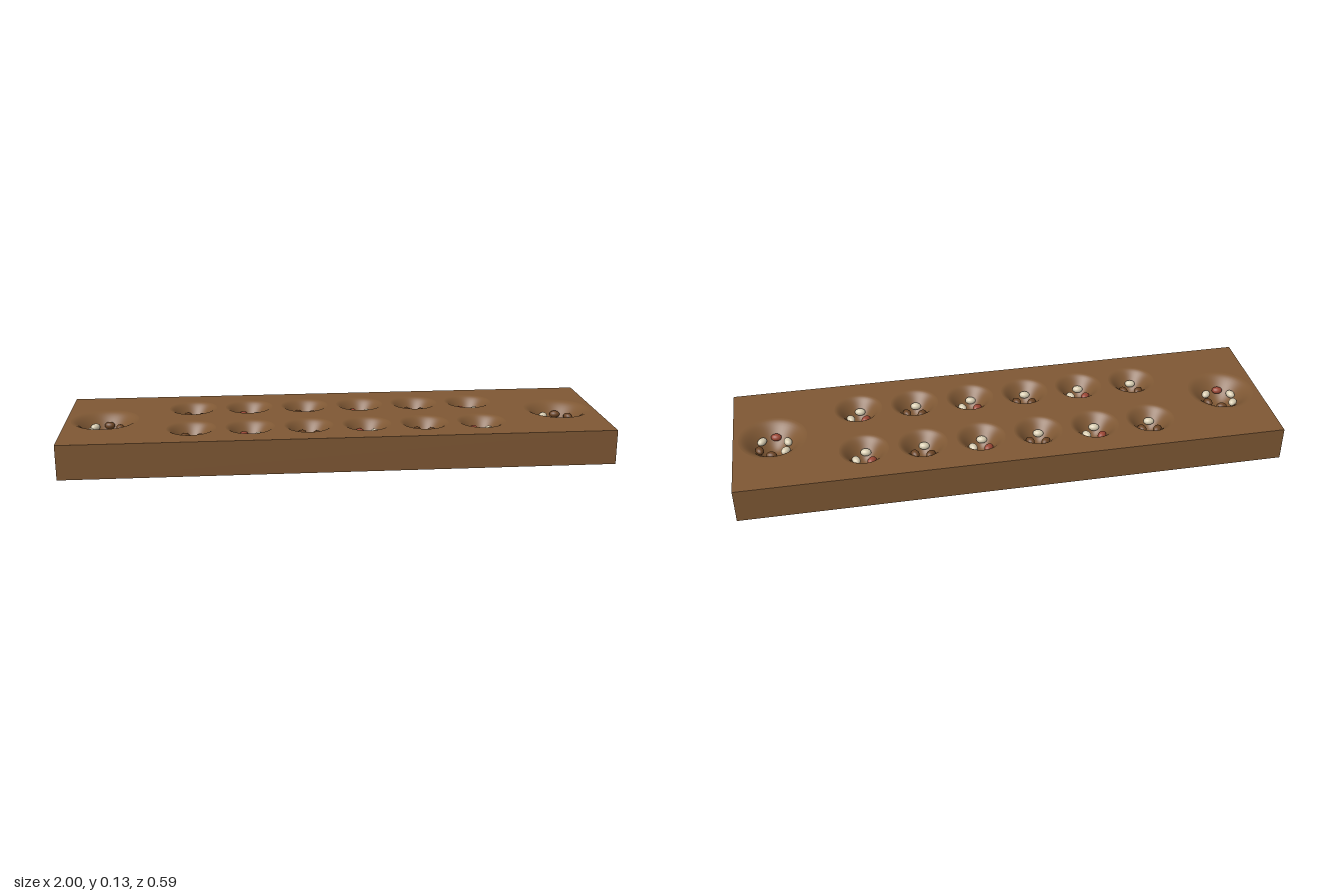
import * as THREE from 'three';

const HEIGHT = 0.128, WIDTH = 2, DEPTH = 0.59;

const mat = (name, color) => {
  const m = new THREE.MeshStandardMaterial({ color });
  m.name = name;
  return m;
};

// depth of a softly rimmed hollow at distance r from its centre
const hollowDepth = (h, r) => h.depth * (1 - (r / h.radius) ** 2) ** 2;

export function createModel() {
  const wood = mat('wood', 0x7f5834);
  const cream = mat('creamSeed', 0xd6cbb0);
  const brown = mat('brownSeed', 0x6b4424);
  const red = mat('redSeed', 0x9a4634);

  const model = new THREE.Group();
  model.name = 'seedGameBoard';
  const add = (parent, name, geometry, material) => {
    const mesh = new THREE.Mesh(geometry, material);
    mesh.name = name;
    parent.add(mesh);
    return mesh;
  };

  // two rows of six pits, and a store at each end
  const hollows = [];
  for (const z of [-0.13, 0.13]) {
    for (let i = 0; i < 6; i++) {
      hollows.push({
        name: 'pit', x: (i - 2.5) * 0.214, z, radius: 0.09, depth: 0.07,
        ring: 0.033, start: 102,
        seeds: i % 2 ? [cream, red, cream] : [cream, brown, brown],
      });
    }
  }
  for (const x of [-0.857, 0.857]) {
    hollows.push({
      name: 'store', x, z: 0, radius: 0.125, depth: 0.08,
      ring: 0.055, start: 40,
      seeds: [cream, red, cream, cream, brown, brown],
    });
  }

  // block sides and underside: a box without its top face
  const box = new THREE.BoxGeometry(WIDTH, HEIGHT, DEPTH);
  box.setIndex([...box.index.array].filter((_, i) => i < 12 || i > 17));
  box.clearGroups();
  box.translate(0, HEIGHT / 2, 0);
  add(model, 'boardBlock', box, wood);

  // top surface with round openings
  const w = WIDTH / 2, d = DEPTH / 2;
  const top = new THREE.Shape([[-w, -d], [w, -d], [w, d], [-w, d]].map(p => new THREE.Vector2(...p)));
  for (const h of hollows) {
    top.holes.push(new THREE.Path().absarc(h.x, -h.z, h.radius, 0, Math.PI * 2, true));
  }
  const topGeometry = new THREE.ShapeGeometry(top, 24);
  topGeometry.rotateX(-Math.PI / 2).translate(0, HEIGHT, 0);
  add(model, 'boardTop', topGeometry, wood);

  // carved hollows and the seeds lying in them
  const seedGeometry = new THREE.SphereGeometry(1, 16, 12).scale(0.015, 0.0135, 0.02);
  for (const h of hollows) {
    const group = new THREE.Group();
    group.name = h.name;
    group.position.set(h.x, HEIGHT, h.z);
    model.add(group);

    const profile = [];
    for (let i = 16; i >= 0; i--) {
      const r = h.radius * i / 16;
      profile.push(new THREE.Vector2(r, -hollowDepth(h, r)));
    }
    add(group, h.name + 'Bowl', new THREE.LatheGeometry(profile, 48), wood);

    h.seeds.forEach((material, i) => {
      const a = THREE.MathUtils.degToRad(h.start + i * 360 / h.seeds.length);
      const seed = add(group, 'seed', seedGeometry, material);
      seed.position.set(Math.cos(a) * h.ring, 0.013 - hollowDepth(h, h.ring), Math.sin(a) * h.ring);
      seed.rotation.y = -a;
    });
  }
  return model;
}
